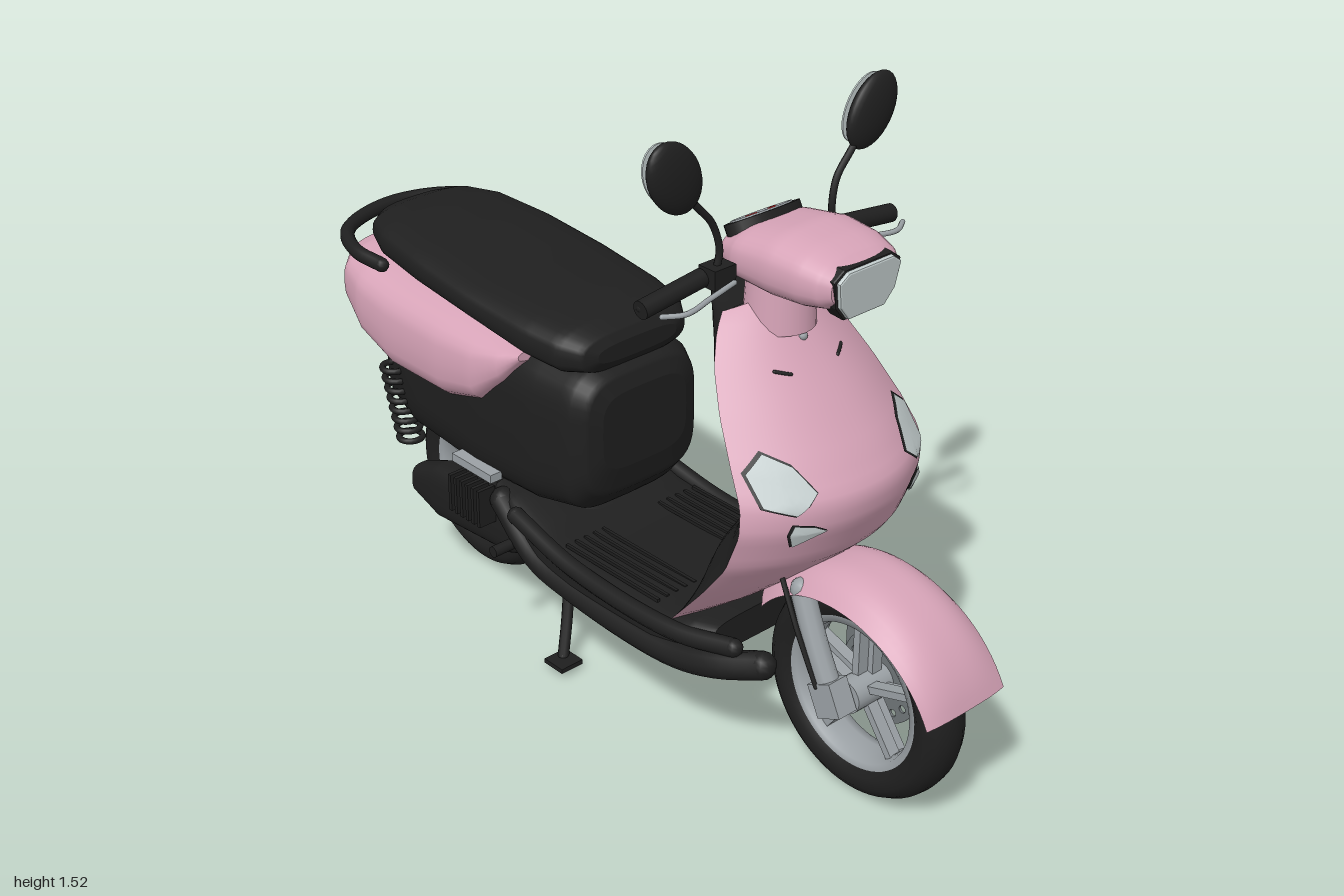
import * as THREE from 'three';

const mat = (name, color) => {
  const m = new THREE.MeshStandardMaterial({ color, side: THREE.DoubleSide });
  m.name = name;
  return m;
};
const V = (x, y, z) => new THREE.Vector3(x, y, z);

// Skin through rows of points; closed rows get end caps
function loft(rows, closed = true) {
  const n = rows[0].length, pos = [], idx = [];
  rows.forEach(r => r.forEach(p => pos.push(p.x, p.y, p.z)));
  for (let i = 0; i < rows.length - 1; i++)
    for (let j = 0; j < (closed ? n : n - 1); j++) {
      const a = i * n + j, b = i * n + (j + 1) % n;
      idx.push(a, b, a + n, b, b + n, a + n);
    }
  if (closed) [0, rows.length - 1].forEach((i, end) => {
    const c = rows[i].reduce((s, p) => s.add(p), V(0, 0, 0)).divideScalar(n);
    const base = pos.length / 3;
    [c, ...rows[i]].forEach(p => pos.push(p.x, p.y, p.z));
    for (let j = 0; j < n; j++) {
      const a = base + 1 + j, b = base + 1 + (j + 1) % n;
      end ? idx.push(base, a, b) : idx.push(base, b, a);
    }
  });
  const g = new THREE.BufferGeometry();
  g.setAttribute('position', new THREE.Float32BufferAttribute(pos, 3));
  g.setIndex(idx);
  g.computeVertexNormals();
  return g;
}

// Body along z from sections [z, bottom, top, halfWidth], smoothed between them
function hull(sections, power, n = 36, steps = 5) {
  const rows = [], key = [0, 1, 2, 3].map(k => sections.map(s => s[k]));
  const m = sections.length - 1;
  for (let i = 0; i <= m * steps; i++) {
    const k = Math.min(Math.floor(i / steps), m - 1), t = i / steps - k;
    const [z, b, u, w] = key.map(a => THREE.MathUtils.lerp(a[k], a[k + 1], t));
    rows.push(Array.from({ length: n }, (_, j) => {
      const a = -j / n * Math.PI * 2, c = Math.cos(a), s = Math.sin(a);
      const f = v => Math.sign(v) * Math.abs(v) ** (2 / power);
      return V(w * f(c), (b + u) / 2 + (u - b) / 2 * f(s), z);
    }));
  }
  return loft(rows);
}

// Leg shield rows: y, half width, front z, edge z, back z
const SHIELD = [[0.35, 0.23, 0.37, 0.33, 0.31], [0.4, 0.255, 0.44, 0.38, 0.31], [0.5, 0.27, 0.56, 0.47, 0.31],
  [0.6, 0.28, 0.66, 0.55, 0.38], [0.7, 0.28, 0.705, 0.59, 0.43], [0.76, 0.273, 0.71, 0.585, 0.42],
  [0.83, 0.258, 0.66, 0.54, 0.385], [0.92, 0.23, 0.585, 0.475, 0.33], [1.0, 0.195, 0.515, 0.42, 0.28],
  [1.06, 0.155, 0.465, 0.385, 0.235], [1.09, 0.125, 0.44, 0.37, 0.215]];
function shieldRow(y) {
  let i = 0;
  while (i < SHIELD.length - 2 && y > SHIELD[i + 1][0]) i++;
  const a = SHIELD[i], b = SHIELD[i + 1], t = (y - a[0]) / (b[0] - a[0]);
  return a.map((v, k) => v + (b[k] - v) * t);
}
const frontZ = (x, y) => {
  const [, w, f, e] = shieldRow(y);
  return e + (f - e) * (1 - Math.min(1, Math.abs(x / w)) ** 2.2);
};
// Thin plate lying on the shield
function patch(outline, lift, grow = 1) {
  const c = outline.reduce((s, p) => [s[0] + p[0] / outline.length, s[1] + p[1] / outline.length], [0, 0]);
  const rim = outline.flatMap((p, i) => [0, 0.25, 0.5, 0.75].map(t => {
    const q = outline[(i + 1) % outline.length];
    return [p[0] + (q[0] - p[0]) * t, p[1] + (q[1] - p[1]) * t];
  }));
  return loft([0.01, 0.3, 0.6, 0.85, 1].map(t => rim.map(p => {
    const x = c[0] + (p[0] - c[0]) * t * grow, y = c[1] + (p[1] - c[1]) * t * grow;
    return V(x, y, frontZ(x, y) + lift);
  })));
}

export function createModel() {
  const root = new THREE.Group();
  root.name = 'scooter';
  const pink = mat('pinkPaint', 0xd6a3b7), black = mat('blackPlastic', 0x1f1f1f), silver = mat('silverMetal', 0x9ba1a5),
    steel = mat('darkSteel', 0x6f7578), glass = mat('clearLens', 0xc3cdcd), red = mat('redLens', 0xb31a1a),
    orange = mat('orangeLens', 0xd98228);

  const add = (name, geo, m, p = [0, 0, 0], r = [0, 0, 0], parent = root) => {
    const o = new THREE.Mesh(geo, m);
    o.name = name;
    o.position.set(...p);
    o.rotation.set(...r);
    parent.add(o);
    return o;
  };
  const box = (w, h, d) => new THREE.BoxGeometry(w, h, d);
  const cyl = (r, h, r2 = r, n = 24) => new THREE.CylinderGeometry(r, r2, h, n);
  const tube = (name, pts, r, m, n = 32) => {
    const curve = new THREE.CatmullRomCurve3(pts.map(p => V(...p)));
    add(name, new THREE.TubeGeometry(curve, n, r, 10), m);
    [0, pts.length - 1].forEach(i => add(name + 'End', new THREE.SphereGeometry(r, 10, 8), m, pts[i]));
  };
  const both = fn => [1, -1].forEach(fn);

  // Wheels
  const side = [[0.18, 0.045], [0.2, 0.058], [0.225, 0.06], [0.245, 0.047], [0.257, 0.025], [0.26, 0]];
  const prof = [...side, ...side.slice(0, -1).reverse().map(([r, x]) => [r, -x])].map(p => new THREE.Vector2(...p));
  const rim = [[0.188, 0.048], [0.168, 0.046], [0.16, 0.02], [0.16, -0.02], [0.168, -0.046], [0.188, -0.048]]
    .map(p => new THREE.Vector2(...p));
  function wheel(name, y, z, scale) {
    const g = new THREE.Group();
    g.name = name;
    g.position.set(0, y, z);
    g.scale.set(1, scale, scale);
    root.add(g);
    const across = [0, 0, Math.PI / 2];
    add('tyre', new THREE.LatheGeometry(prof, 64), black, [0, 0, 0], across, g);
    add('rim', new THREE.LatheGeometry(rim, 64), silver, [0, 0, 0], across, g);
    add('hub', cyl(0.04, 0.13), silver, [0, 0, 0], across, g);
    for (let i = 0; i < 5; i++) {
      const a = i / 5 * Math.PI * 2;
      both(s => add('spoke', box(0.03, 0.14, 0.018), silver,
        [0.015 * s, Math.cos(a + 0.07 * s) * 0.1, Math.sin(a + 0.07 * s) * 0.1], [a, 0, 0], g));
    }
    // Drilled brake disc
    const disc = new THREE.Shape().absarc(0, 0, 0.11, 0, Math.PI * 2);
    const hole = (x, y, r) => disc.holes.push(new THREE.Path().absarc(x, y, r, 0, Math.PI * 2, true));
    hole(0, 0, 0.035);
    for (let i = 0; i < 15; i++) hole(Math.cos(i * 0.419) * 0.085, Math.sin(i * 0.419) * 0.085, 0.009);
    add('brakeDisc', new THREE.ExtrudeGeometry(disc, { depth: 0.006, bevelEnabled: false, curveSegments: 16 }),
      steel, [0.045, 0, 0], [0, Math.PI / 2, 0], g);
  }
  wheel('frontWheel', 0.263, 0.713, 1);
  wheel('rearWheel', 0.25, -0.585, 0.96);

  // Front mudguard, an arched shell
  const arch = [];
  for (let i = 0; i <= 28; i++) {
    const a = THREE.MathUtils.degToRad(16 + i * 4.5), drop = 0.055 * Math.sin(Math.PI * Math.min(1, i / 20 + 0.1) / 2);
    arch.push(Array.from({ length: 17 }, (_, j) => {
      const u = j / 8 - 1, r = 0.308 - drop * Math.abs(u) ** 3;
      return V(0.122 * u, 0.265 + r * Math.sin(a), 0.705 + r * Math.cos(a));
    }));
  }
  add('frontMudguard', loft(arch, false), pink);

  // Fork
  both(s => {
    tube('forkLeg', [[0.1 * s, 0.27, 0.71], [0.1 * s, 0.38, 0.655], [0.095 * s, 0.5, 0.6]], 0.027, silver);
    add('axleBlock', box(0.055, 0.08, 0.07), silver, [0.1 * s, 0.275, 0.705], [-0.45, 0, 0]);
  });
  add('brakeCaliper', box(0.04, 0.09, 0.06), steel, [0.085, 0.31, 0.62]);
  tube('brakeHose', [[-0.125, 0.3, 0.68], [-0.128, 0.42, 0.62], [-0.12, 0.53, 0.56]], 0.006, black);

  // Leg shield: painted front and dark inner side
  const rowsY = Array.from({ length: 38 }, (_, i) => 0.35 + i * 0.02);
  const shell = (fn) => rowsY.map(y => Array.from({ length: 33 }, (_, j) => {
    const u = Math.sin((j / 16 - 1) * Math.PI / 2);
    return fn(u, y, shieldRow(y));
  }));
  const front = shell((u, y, [, w]) => V(u * w, y, frontZ(u * w, y)));
  front.push(front.at(-1).map(p => V(p.x * 0.5, 1.105, 0.4 + (p.z - 0.37) * 0.4)));
  add('frontShield', loft(front, false), pink);
  const back = shell((u, y, [, w, , e, b]) => V(u * w, y, e + (b - e) * (1 - Math.abs(u) ** 1.5)));
  back.push(back.at(-1).map(p => V(p.x, 1.09, 0.372)));
  add('innerShield', loft(back, false), black);
  tube('bagHook', [[0, 0.84, 0.37], [0, 0.835, 0.34], [0, 0.81, 0.32], [0, 0.83, 0.305]], 0.009, silver, 16);
  add('shieldButton', new THREE.SphereGeometry(0.011, 12, 8), silver, [0, 1.035, 0.485]);

  // Shield lamps
  both(s => {
    const upper = [[0.135, 0.785], [0.16, 0.835], [0.2, 0.86], [0.243, 0.825], [0.24, 0.765], [0.185, 0.745]];
    const lower = [[0.13, 0.7], [0.16, 0.715], [0.2, 0.722], [0.21, 0.7], [0.195, 0.665], [0.16, 0.685]];
    [['signalLamp', upper], ['lowerLamp', lower]].forEach(([name, pts]) => {
      const p = pts.map(([x, y]) => [s * x * (name === 'lowerLamp' ? 0.95 : 1), y]);
      add(name + 'Surround', patch(p, 0.003, 1.07), black);
      add(name, patch(p, 0.008), glass);
    });
    tube('shieldSlot', [0.07, 0.085, 0.1].map(x => [x * s, 0.96 + x * 0.3, frontZ(x, 0.96 + x * 0.3)]), 0.004, black, 8);
  });

  // Steering head and headlamp
  add('steeringNeck', cyl(0.072, 0.14, 0.08), pink, [0, 1.115, 0.415]);
  add('headCowl', hull([[0.325, 1.21, 1.235, 0.07], [0.345, 1.18, 1.257, 0.11], [0.4, 1.155, 1.285, 0.132],
    [0.5, 1.15, 1.302, 0.138], [0.58, 1.155, 1.295, 0.132], [0.63, 1.165, 1.28, 0.118], [0.655, 1.18, 1.265, 0.1]], 2.6), pink);
  const lampShape = k => new THREE.Shape([[-0.088, 0.035], [-0.065, 0.052], [0.065, 0.052], [0.088, 0.035],
    [0.078, -0.02], [0.052, -0.052], [-0.052, -0.052], [-0.078, -0.02]].map(p => new THREE.Vector2(p[0] * k, p[1] * k)));
  const lampOpts = { depth: 0.035, bevelSize: 0.004, bevelThickness: 0.005, bevelSegments: 2 };
  add('headlampSurround', new THREE.ExtrudeGeometry(lampShape(1.06), lampOpts), black, [0, 1.21, 0.618], [0.08, 0, 0]);
  add('headlamp', new THREE.ExtrudeGeometry(lampShape(0.98), lampOpts), glass, [0, 1.21, 0.627], [0.08, 0, 0]);
  // Instruments
  const dash = new THREE.Group();
  dash.name = 'instruments';
  dash.position.set(0, 1.262, 0.362);
  dash.rotation.x = -0.5;
  dash.scale.set(1, 1, 0.58);
  root.add(dash);
  add('dashPanel', cyl(0.1, 0.03), black, [0, 0, 0], [0, 0, 0], dash);
  add('dashRing', new THREE.TorusGeometry(0.078, 0.003, 6, 40), silver, [0, 0.016, 0], [Math.PI / 2, 0, 0], dash);
  both(s => add('dashNeedle', box(0.03, 0.004, 0.006), red, [0.03 * s, 0.017, 0], [0, 0.5 * s, 0], dash));

  // Handlebars, levers and mirrors
  both(s => {
    tube('handlebar', [[0.1 * s, 1.205, 0.41], [0.18 * s, 1.2, 0.395], [0.36 * s, 1.178, 0.38]], 0.012, black);
    add('grip', cyl(0.021, 0.17), black, [0.285 * s, 1.187, 0.386], [0, 0, s * (Math.PI / 2 - 0.12)]);
    add('switchBox', box(0.06, 0.045, 0.05), black, [0.17 * s, 1.2, 0.4]);
    tube('brakeLever', [[0.15 * s, 1.185, 0.43], [0.23 * s, 1.18, 0.445], [0.31 * s, 1.175, 0.458], [0.355 * s, 1.175, 0.435]], 0.006, silver);
    tube('mirrorStem', [[0.172 * s, 1.215, 0.4], [0.165 * s, 1.255, 0.4], [0.182 * s, 1.315, 0.395], [0.225 * s, 1.365, 0.393], [0.27 * s, 1.42, 0.393]], 0.008, black);
    add('mirrorShell', new THREE.SphereGeometry(1, 28, 16), black, [0.285 * s, 1.441, 0.393], [0, 0, -0.6 * s]).scale.set(0.064, 0.09, 0.025);
    add('mirrorGlass', cyl(1, 0.004, 1, 28).rotateX(Math.PI / 2).scale(0.055, 0.08, 1), glass, [0.285 * s, 1.441, 0.368], [0, 0, -0.6 * s]);
  });

  // Floorboard, belly and side rails
  add('floorboard', hull([[0.44, 0.29, 0.37, 0.2], [0.38, 0.25, 0.37, 0.23], [0.28, 0.235, 0.355, 0.245], [0, 0.23, 0.345, 0.245],
    [-0.12, 0.235, 0.36, 0.24], [-0.25, 0.29, 0.4, 0.22], [-0.33, 0.35, 0.41, 0.2]].reverse(), 5), black);
  both(s => {
    tube('sideRail', [[0.17 * s, 0.315, 0.56], [0.215 * s, 0.29, 0.46], [0.23 * s, 0.265, 0.33], [0.225 * s, 0.262, 0], [0.22 * s, 0.285, -0.15], [0.2 * s, 0.37, -0.3]], 0.033, black);
    tube('floorEdge', [[0.2 * s, 0.345, 0.5], [0.235 * s, 0.33, 0.35], [0.235 * s, 0.33, 0], [0.225 * s, 0.37, -0.22]], 0.022, black);
    for (let i = 0; i < 5; i++)
      add('floorRib', box(0.008, 0.008, 0.32), black, [(0.09 + i * 0.028) * s, 0.352, 0.1]);
  });

  // Rear body, side panels and seat
  add('rearBody', hull([[-0.01, 0.53, 0.73, 0.13], [-0.025, 0.46, 0.77, 0.17], [-0.07, 0.41, 0.79, 0.195], [-0.2, 0.385, 0.8, 0.212],
    [-0.4, 0.378, 0.8, 0.217], [-0.68, 0.385, 0.81, 0.2], [-0.8, 0.4, 0.82, 0.165], [-0.86, 0.43, 0.8, 0.12]].reverse(), 4), black);
  add('sidePanels', hull([[-0.22, 0.765, 0.8, 0.205], [-0.27, 0.69, 0.805, 0.232], [-0.35, 0.605, 0.815, 0.25], [-0.47, 0.568, 0.825, 0.258],
    [-0.68, 0.565, 0.835, 0.257], [-0.8, 0.605, 0.842, 0.248], [-0.89, 0.66, 0.842, 0.22], [-0.94, 0.7, 0.83, 0.17], [-0.965, 0.73, 0.81, 0.1]].reverse(), 3.2), pink);
  add('seat', hull([[-0.035, 0.8, 0.845, 0.12], [-0.05, 0.775, 0.87, 0.16], [-0.1, 0.765, 0.89, 0.195], [-0.2, 0.775, 0.9, 0.213], [-0.4, 0.81, 0.912, 0.222],
    [-0.6, 0.825, 0.932, 0.215], [-0.76, 0.835, 0.942, 0.195], [-0.84, 0.845, 0.938, 0.16], [-0.88, 0.86, 0.925, 0.11], [-0.895, 0.88, 0.905, 0.06]].reverse(), 3), black);
  tube('grabRail', [[-0.215, 0.85, -0.73], [-0.225, 0.86, -0.82], [-0.17, 0.868, -0.93], [0, 0.875, -0.98], [0.17, 0.868, -0.93], [0.225, 0.86, -0.82], [0.215, 0.85, -0.73]], 0.018, black, 60);

  // Tail lamp, number plate and rear mudguard
  add('tailLamp', new THREE.SphereGeometry(1, 32, 16), red, [0, 0.755, -0.935]).scale.set(0.14, 0.042, 0.045);
  both(s => add('rearSignal', new THREE.SphereGeometry(1, 20, 12), orange, [0.145 * s, 0.745, -0.925]).scale.set(0.045, 0.038, 0.035));
  add('rearMudguard', box(0.2, 0.3, 0.03), black, [0, 0.55, -0.865]);
  add('mudguardFlap', box(0.15, 0.09, 0.02), black, [0, 0.435, -0.87]);
  add('numberPlate', box(0.13, 0.085, 0.008), glass, [0, 0.56, -0.9]);
  add('plateBracket', box(0.06, 0.04, 0.03), black, [0, 0.56, -0.885]);
  add('rearReflector', box(0.07, 0.025, 0.01), red, [0, 0.42, -0.885]);

  // Engine, rear springs and small fittings
  add('engineCase', hull([[-0.6, 0.22, 0.34, 0.09], [-0.5, 0.2, 0.4, 0.13], [-0.2, 0.2, 0.4, 0.14], [-0.12, 0.24, 0.36, 0.1]], 4), black);
  add('driveCase', hull([[-0.68, 0.22, 0.3, 0.035], [-0.58, 0.19, 0.34, 0.045], [-0.3, 0.21, 0.36, 0.045], [-0.22, 0.24, 0.34, 0.035]], 3), black, [-0.16, 0, 0]);
  for (let i = 0; i < 6; i++) add('coolingFin', box(0.05, 0.1, 0.01), black, [-0.23, 0.35, -0.33 - i * 0.022]);
  add('kickLever', cyl(0.014, 0.12), black, [-0.235, 0.295, -0.225], [0, 0, Math.PI / 2]);
  both(s => {
    for (let i = 0; i < 8; i++)
      add('springCoil', new THREE.TorusGeometry(0.03, 0.008, 8, 20), black, [0.185 * s, 0.38 + i * 0.025, -0.69 - i * 0.008], [Math.PI / 2, 0, 0]);
    add('passengerPeg', box(0.035, 0.022, 0.15), silver, [0.215 * s, 0.435, -0.38]);
  });

  // Exhaust on the model's left
  add('muffler', cyl(0.05, 0.47, 0.042), black, [0.245, 0.3, -0.58], [Math.PI / 2 + 0.02, 0, 0]);
  add('tailPipe', cyl(0.032, 0.07), black, [0.245, 0.31, -0.84], [Math.PI / 2, 0, 0]);
  add('heatShield', new THREE.SphereGeometry(1, 28, 16), silver, [0.265, 0.302, -0.55]).scale.set(0.035, 0.05, 0.2);
  tube('exhaustPipe', [[0.1, 0.22, -0.2], [0.18, 0.2, -0.25], [0.215, 0.2, -0.38], [0.225, 0.225, -0.5], [0.235, 0.28, -0.55]], 0.02, silver);

  // Side stand
  tube('sideStand', [[-0.13, 0.21, -0.14], [-0.165, 0.11, -0.11], [-0.2, 0.025, -0.085]], 0.014, black);
  add('standFoot', box(0.065, 0.012, 0.065), black, [-0.21, 0.022, -0.072]);
  add('standPivot', cyl(0.035, 0.06), black, [-0.13, 0.21, -0.14], [0, 0, Math.PI / 2]);
  return root;
}
